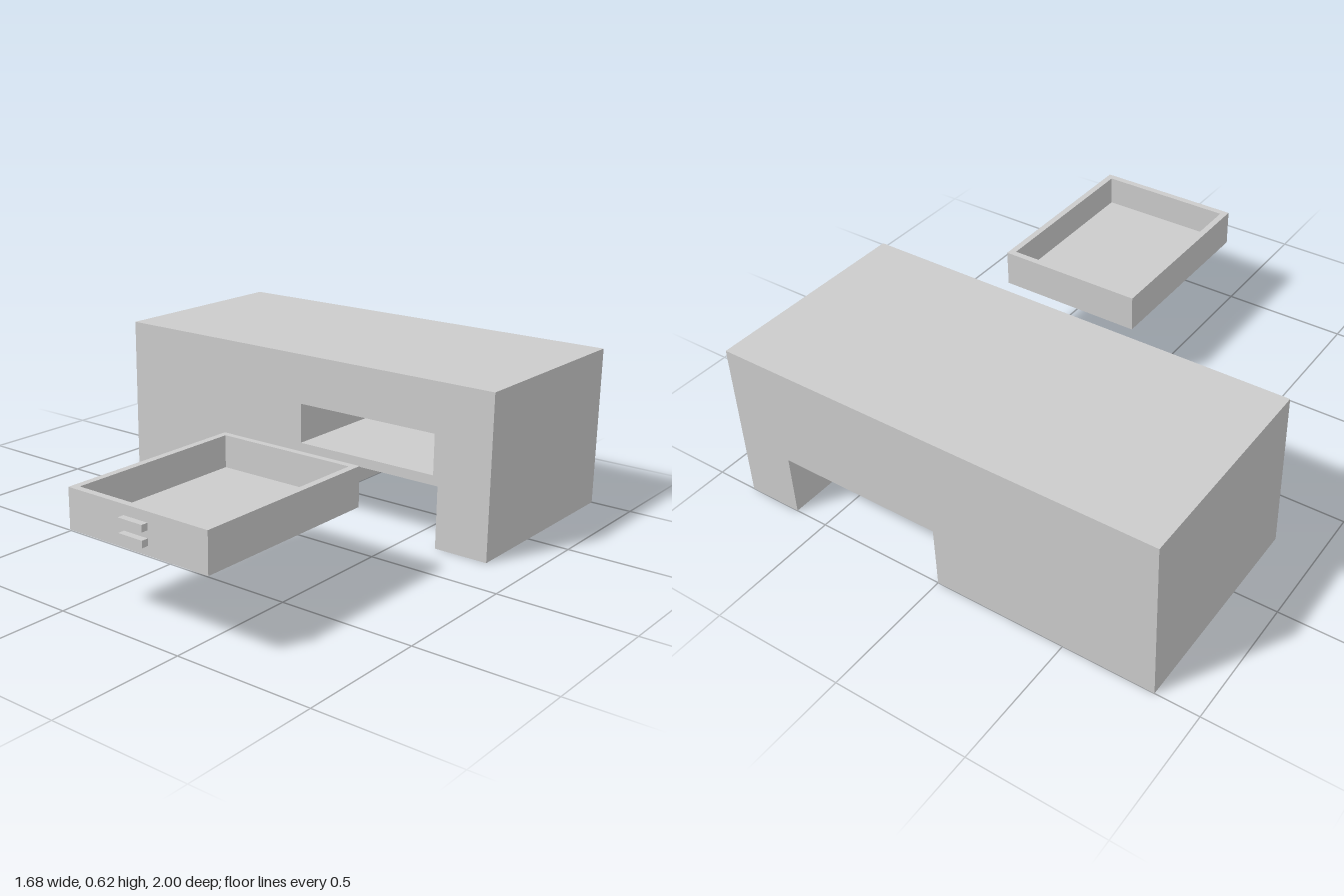
import * as THREE from 'three';

const material = new THREE.MeshStandardMaterial({ color: 0xcccccc, flatShading: true });

// Rectangle as a list of corners
const rect = (x0, y0, x1, y1) => [[x0, y0], [x1, y0], [x1, y1], [x0, y1]].map(p => new THREE.Vector2(...p));

function part(name, geometry, parent) {
  const mesh = new THREE.Mesh(geometry, material);
  mesh.name = name;
  parent.add(mesh);
  return mesh;
}

// Box given by its lower and upper corners
function box(name, a, b, parent) {
  const mesh = part(name, new THREE.BoxGeometry(b[0] - a[0], b[1] - a[1], b[2] - a[2]), parent);
  mesh.position.set((a[0] + b[0]) / 2, (a[1] + b[1]) / 2, (a[2] + b[2]) / 2);
}

// Front outline of the desk with its knee space
function deskShape() {
  return new THREE.Shape([
    [-0.84, 0], [0, 0], [0, 0.235], [0.63, 0.235], [0.63, 0], [0.84, 0], [0.84, 0.615], [-0.84, 0.615],
  ].map(p => new THREE.Vector2(...p)));
}

export function createModel() {
  const model = new THREE.Group();
  model.name = 'deskWithDrawer';

  // Desk: body pierced by the drawer slot, closed by a back panel
  const desk = new THREE.Group();
  desk.name = 'desk';
  model.add(desk);
  const front = -0.205, back = -1, panel = 0.04;
  const bodyShape = deskShape();
  bodyShape.holes.push(new THREE.Path(rect(0.02, 0.272, 0.61, 0.425)));
  const body = new THREE.ExtrudeGeometry(bodyShape, { depth: front - back - panel, bevelEnabled: false });
  part('deskBody', body, desk).position.z = back + panel;
  const backPanel = new THREE.ExtrudeGeometry(deskShape(), { depth: panel, bevelEnabled: false });
  part('deskBackPanel', backPanel, desk).position.z = back;

  // Drawer: rim of four walls around a floor, pulled fully out
  const drawer = new THREE.Group();
  drawer.name = 'drawer';
  model.add(drawer);
  const x0 = 0.025, x1 = 0.605, y0 = 0.278, y1 = 0.42, z0 = 0.235, z1 = 0.975, wall = 0.025;
  const rim = new THREE.Shape(rect(x0, -z1, x1, -z0));
  rim.holes.push(new THREE.Path(rect(x0 + wall, -z1 + wall, x1 - wall, -z0 - wall)));
  const walls = new THREE.ExtrudeGeometry(rim, { depth: y1 - y0, bevelEnabled: false });
  walls.rotateX(-Math.PI / 2);
  part('drawerWalls', walls, drawer).position.y = y0;
  box('drawerFloor', [x0 + wall, y0, z0 + wall], [x1 - wall, y0 + wall, z1 - wall], drawer);

  // Two short handle bars
  for (const y of [0.31, 0.36]) {
    box('drawerHandle', [0.265, y, z1], [0.365, y + 0.024, 1], drawer);
  }
  return model;
}
